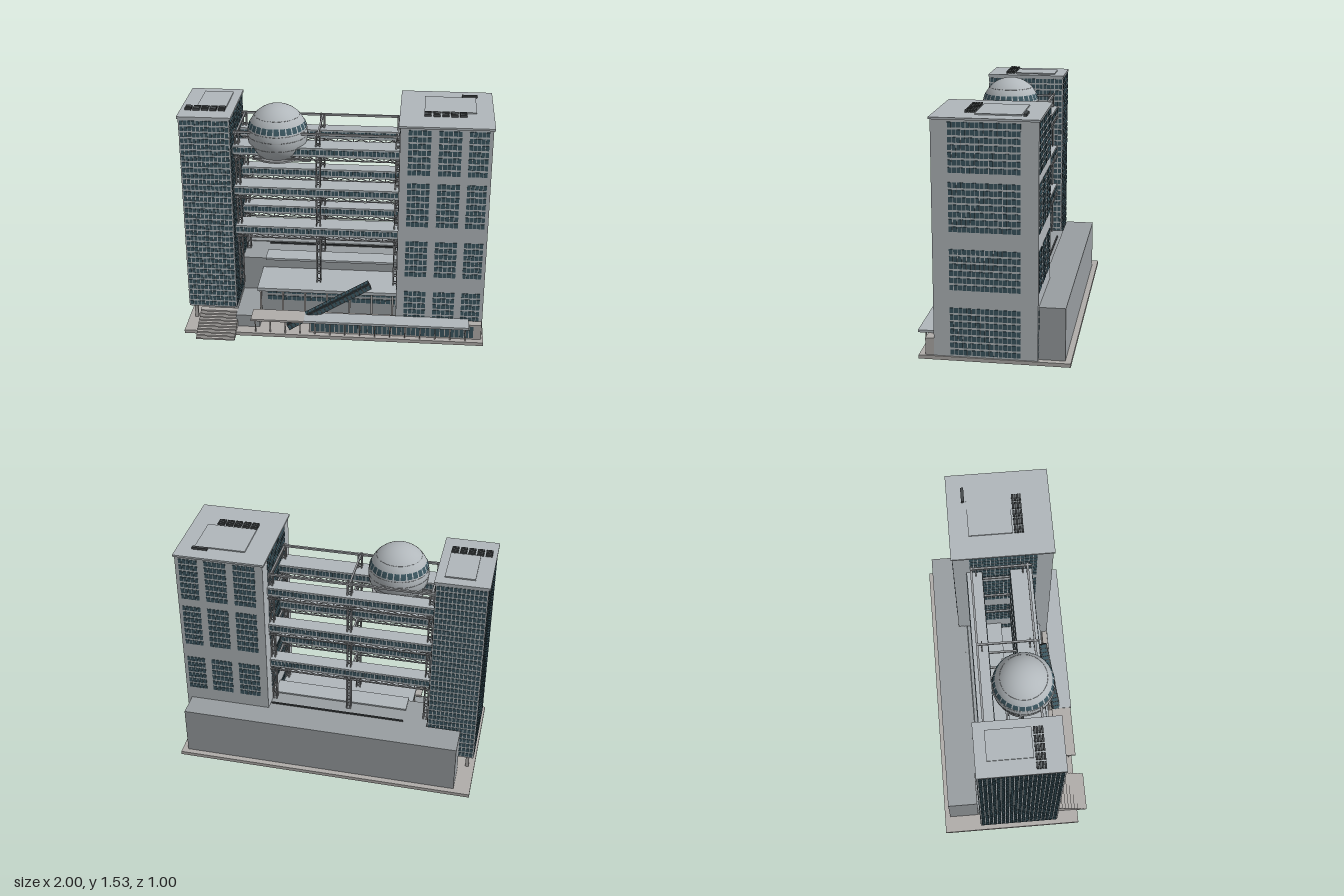
import * as THREE from 'three';
import { mergeGeometries } from 'three/addons/utils/BufferGeometryUtils.js';

const mat = (color) => new THREE.MeshStandardMaterial({ color });
const WALL = mat(0xb2b8bc), STONE = mat(0xb0adaa), GREY = mat(0x999ea1);
const GLASS = mat(0x3b5660), DARK = mat(0x44484a), STEEL = mat(0x9a9da0), ROOF = mat(0xb0b7bb);

// Box given by its limits on each axis
function boxGeo(x0, x1, y0, y1, z0, z1) {
  return new THREE.BoxGeometry(x1 - x0, y1 - y0, z1 - z0)
    .translate((x0 + x1) / 2, (y0 + y1) / 2, (z0 + z1) / 2);
}

// Square bar between two points
function barGeo(a, b, t) {
  const p = new THREE.Vector3(...a), q = new THREE.Vector3(...b);
  const g = new THREE.BoxGeometry(t, t, p.distanceTo(q));
  const m = new THREE.Object3D();
  m.position.copy(p).add(q).multiplyScalar(0.5);
  m.lookAt(q);
  m.updateMatrix();
  return g.applyMatrix4(m.matrix);
}

function add(parent, name, geos, material) {
  const mesh = new THREE.Mesh(Array.isArray(geos) ? mergeGeometries(geos) : geos, material);
  mesh.name = name;
  parent.add(mesh);
  return mesh;
}

// Panes on a wall: axis 'x' spans x at depth z = at, axis 'z' spans z at x = at
function panes(axis, at, u0, u1, cols, y0, y1, rows, fillU = 0.8, fillY = 0.72) {
  const out = [], du = (u1 - u0) / cols, dy = (y1 - y0) / rows, t = 0.003;
  for (let i = 0; i < cols; i++) for (let j = 0; j < rows; j++) {
    const u = u0 + (i + 0.5) * du, y = y0 + (j + 0.5) * dy;
    const a = u - du * fillU / 2, b = u + du * fillU / 2, c = y - dy * fillY / 2, d = y + dy * fillY / 2;
    out.push(axis === 'x' ? boxGeo(a, b, c, d, at - t, at + t) : boxGeo(at - t, at + t, c, d, a, b));
  }
  return out;
}

function rooftop(parent, x0, x1, v0, v1, y) {
  add(parent, 'roofPanel', boxGeo(x0, x1, y, y + 0.008, -0.19, 0.09), ROOF);
  const vents = [], p = (v1 - v0) / 5;
  for (let i = 0; i < 5; i++) for (let k = 0; k < 4; k++)
    vents.push(boxGeo(v0 + i * p, v0 + (i + 0.78) * p, y, y + 0.015, 0.1 + k * 0.016, 0.112 + k * 0.016));
  add(parent, 'roofVents', vents, DARK);
}

function narrowTower() {
  const g = new THREE.Group();
  g.name = 'narrowTower';
  add(g, 'shaft', boxGeo(-0.99, -0.665, 0.125, 1.49, -0.255, 0.275), WALL);
  add(g, 'roofCap', boxGeo(-1, -0.655, 1.485, 1.5, -0.26, 0.28), ROOF);
  add(g, 'windows', [
    ...[-0.255, 0.275].flatMap((z) => panes('x', z, -0.985, -0.67, 12, 0.13, 1.48, 33)),
    ...[-0.99, -0.665].flatMap((x) => panes('z', x, -0.25, 0.27, 19, 0.13, 1.48, 33)),
  ], GLASS);
  const stilts = [];
  for (const x of [-0.95, -0.7]) for (const z of [-0.22, 0.01, 0.24])
    stilts.push(boxGeo(x - 0.011, x + 0.011, 0.02, 0.13, z - 0.011, z + 0.011));
  add(g, 'stilts', stilts, STONE);
  add(g, 'lobbyCore', boxGeo(-0.88, -0.66, 0.02, 0.125, -0.27, 0.16), GREY);
  rooftop(g, -0.9, -0.71, -0.97, -0.7, 1.5);
  return g;
}

function wideTower() {
  const g = new THREE.Group();
  g.name = 'wideTower';
  add(g, 'shaft', boxGeo(0.415, 0.99, 0.02, 1.495, -0.305, 0.335), WALL);
  add(g, 'roofCap', boxGeo(0.405, 1, 1.492, 1.505, -0.313, 0.345), ROOF);
  const win = [];
  for (const [y0, y1, rows] of [[0.03, 0.345, 7], [0.445, 0.715, 6], [0.81, 1.125, 7], [1.17, 1.485, 7]]) {
    for (const z of [-0.305, 0.335]) for (const [a, b] of [[0.465, 0.61], [0.655, 0.8], [0.842, 0.968]])
      win.push(...panes('x', z, a, b, 5, y0, y1, rows, 0.85));
    for (const x of [0.415, 0.99]) win.push(...panes('z', x, -0.2, 0.235, 16, y0, y1, rows, 0.85));
  }
  add(g, 'windows', win, GLASS);
  rooftop(g, 0.56, 0.89, 0.56, 0.84, 1.505);
  add(g, 'roofDuct', boxGeo(0.8, 0.9, 1.505, 1.52, -0.22, -0.2), DARK);
  return g;
}

// Three levels of twin glazed corridors on latticed posts
function bridges() {
  const g = new THREE.Group();
  g.name = 'skyBridges';
  const X0 = -0.67, X1 = 0.42, slabs = [], win = [], steel = [];
  for (const [z0, z1] of [[0.06, 0.2], [-0.22, -0.12]]) {
    for (const y of [0.65, 0.935, 1.22]) {
      slabs.push(boxGeo(X0, X1, y, y + 0.06, z0, z1));
      for (const z of [z0, z1]) {
        win.push(...panes('x', z, X0 + 0.01, X1 - 0.01, 44, y + 0.015, y + 0.05, 1, 0.8, 0.9));
        const yb = y - 0.02, n = 20, d = (X1 - X0) / n;
        steel.push(barGeo([X0, yb, z], [X1, yb, z], 0.007));
        for (let i = 0; i < n; i++)
          steel.push(barGeo([X0 + i * d, i % 2 ? y : yb, z], [X0 + (i + 1) * d, i % 2 ? yb : y, z], 0.005));
      }
      for (let i = 0; i <= 10; i++) {
        const x = X0 + i * (X1 - X0) / 10;
        steel.push(barGeo([x, y - 0.02, z0], [x, y - 0.02, z1], 0.006));
      }
    }
  }
  // Paired posts with rungs, top rails and cross ties
  for (const x of [-0.64, -0.115, 0.4]) {
    for (const zc of [-0.175, 0.155]) {
      for (const dx of [-0.012, 0.012]) for (const dz of [-0.014, 0.014])
        steel.push(barGeo([x + dx, 0.25, zc + dz], [x + dx, 1.375, zc + dz], 0.008));
      for (let y = 0.3; y < 1.37; y += 0.055) for (const dz of [-0.014, 0.014])
        steel.push(barGeo([x - 0.012, y, zc + dz], [x + 0.012, y, zc + dz], 0.006));
    }
    for (const y of [0.63, 0.915, 1.2, 1.36])
      steel.push(barGeo([x, y, -0.19], [x, y, 0.2], 0.012));
    // Knee braces
    for (const y of [0.63, 0.915, 1.2]) for (const zc of [-0.175, 0.155]) for (const s of [-1, 1])
      if (Math.abs(x + s * 0.05) < 0.66) steel.push(barGeo([x, y - 0.04, zc], [x + s * 0.05, y, zc], 0.007));
  }
  for (const z of [-0.19, 0.17]) steel.push(barGeo([X0, 1.365, z], [X1, 1.365, z], 0.014));
  add(g, 'corridors', slabs, ROOF);
  add(g, 'corridorWindows', win, GLASS);
  add(g, 'steelFrame', steel, STEEL);
  return g;
}

function sphere() {
  const g = new THREE.Group(), R = 0.196;
  g.name = 'observationSphere';
  g.position.set(-0.385, 1.33, 0.075);
  add(g, 'shell', new THREE.SphereGeometry(R, 48, 32), WALL);
  const wins = [], N = 28;
  for (let i = 0; i < N; i++)
    wins.push(new THREE.SphereGeometry(R + 0.002, 3, 3, i * 2 * Math.PI / N, 1.6 * Math.PI / N, Math.acos(0.09 / R), 0.21));
  add(g, 'windowBand', wins, GLASS);
  // Thin panel joints
  const rings = [-0.06, 0, 0.04, 0.13].map((y) =>
    new THREE.TorusGeometry(Math.sqrt(R * R - y * y), 0.0015, 4, 48).rotateX(Math.PI / 2).translate(0, y, 0));
  add(g, 'panelJoints', rings, STEEL);
  add(g, 'lowerDeck', new THREE.CylinderGeometry(0.17, 0.17, 0.012, 40).translate(0, -0.14, 0), STEEL);
  const supports = [-0.11, 0.11].map((z) => barGeo([-0.15, -0.14, z], [0.225, -0.14, z], 0.016));
  for (const z of [-0.115, -0.035]) supports.push(barGeo([-0.29, -0.1, z], [-0.1, -0.1, z], 0.012));
  add(g, 'supportBeams', supports, STEEL);
  return g;
}

function podium() {
  const g = new THREE.Group();
  g.name = 'podium';
  add(g, 'base', boxGeo(-1, 1, 0, 0.024, -0.505, 0.43), STONE);
  add(g, 'rearBlock', [boxGeo(-0.89, 0.96, 0.02, 0.36, -0.468, -0.27),
    boxGeo(-0.66, 0.42, 0.02, 0.355, -0.28, -0.02)], GREY);
  add(g, 'rearBlockCornice', boxGeo(-0.5, 0.42, 0.35, 0.365, -0.13, 0), ROOF);
  add(g, 'roofSlot', boxGeo(-0.5, 0.41, 0.355, 0.364, -0.25, -0.24), DARK);
  // Entrance hall with two bands of windows
  add(g, 'hallWall', boxGeo(-0.5, 0.42, 0.02, 0.27, -0.03, 0.23), GREY);
  add(g, 'hallRoof', boxGeo(-0.52, 0.42, 0.262, 0.285, -0.03, 0.28), ROOF);
  add(g, 'hallWindows', panes('x', 0.232, -0.46, 0.41, 26, 0.165, 0.265, 2, 0.85, 0.6), GLASS);
  const posts = [-0.5, -0.35, -0.2, -0.05, 0.1, 0.25, 0.39].map((x) => boxGeo(x - 0.006, x + 0.006, 0.02, 0.265, 0.258, 0.27));
  add(g, 'hallPosts', posts, STONE);
  add(g, 'sideTerrace', boxGeo(-0.66, -0.5, 0.02, 0.11, -0.03, 0.35), GREY);
  // Front pavilion and canopies
  add(g, 'pavilion', boxGeo(-0.16, 0.985, 0.02, 0.132, 0.3, 0.39), STONE);
  add(g, 'pavilionGlass', panes('x', 0.391, -0.15, 0.935, 34, 0.03, 0.125, 1, 0.82, 0.9), GLASS);
  add(g, 'pavilionRoof', boxGeo(-0.19, 0.9, 0.131, 0.147, 0.335, 0.455), ROOF);
  add(g, 'terraceCanopy', boxGeo(-0.545, -0.19, 0.128, 0.142, 0.315, 0.45), STONE);
  const canopyPosts = [];
  for (let x = -0.52; x < 0.9; x += 0.1) canopyPosts.push(boxGeo(x - 0.004, x + 0.004, 0.02, 0.135, 0.405, 0.413));
  add(g, 'canopyPosts', canopyPosts, STONE);
  // Stairs up to the narrow tower
  const steps = [];
  for (let i = 0; i < 10; i++) steps.push(boxGeo(-0.91, -0.65, 0, 0.011 * (i + 1), 0.26, 0.5 - i * 0.022));
  add(g, 'stairs', steps, STONE);
  return g;
}

// Sloping enclosed escalator
function escalator() {
  const g = new THREE.Group(), run = 0.55, rise = 0.29, L = Math.hypot(run, rise);
  g.name = 'escalator';
  add(g, 'tube', boxGeo(-L / 2, L / 2, -0.022, 0.022, -0.026, 0.026), DARK);
  add(g, 'tubeWindows', [
    ...panes('x', 0.027, -L / 2, L / 2, 22, -0.018, 0.018, 1, 0.75, 0.9),
    ...panes('x', -0.027, -L / 2, L / 2, 22, -0.018, 0.018, 1, 0.75, 0.9),
    ...panes('x', 0, -L / 2, L / 2, 22, -0.022, 0.022, 1, 0.75, 0.9).map((p) => p.rotateX(Math.PI / 2).translate(0, 0.023, 0)),
  ], GLASS);
  g.rotation.set(0, 0.16, Math.atan2(rise, run), 'YZX');
  g.position.set(-0.035, 0.2, 0.325);
  return g;
}

export function createModel() {
  const model = new THREE.Group();
  model.name = 'officeComplex';
  model.add(podium(), narrowTower(), wideTower(), bridges(), sphere(), escalator());
  return model;
}
